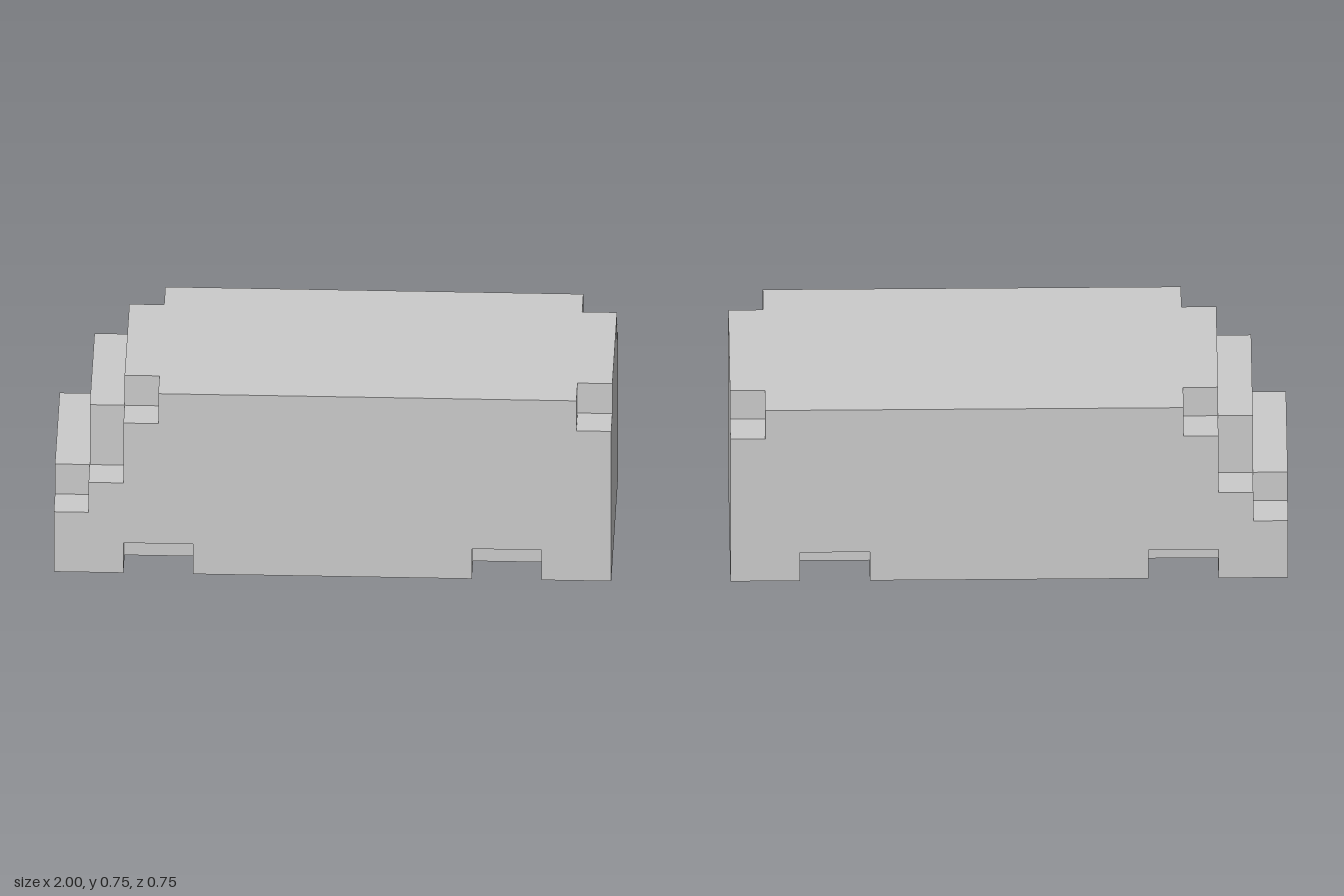
import * as THREE from 'three';

const U = 0.125; // one block; profiles below are in blocks
const HALF_CORE = 2, HALF_WIDTH = 3;

// Side outlines, counter-clockwise, x along the length and y up
const CORE = [[-8, 0], [8, 0], [8, 6], [-6, 6], [-6, 5], [-7, 5], [-7, 3], [-8, 3]];
const FLANK = [
  [-8, 0], [-6, 0], [-6, 1], [-4, 1], [-4, 0], [4, 0], [4, 1], [6, 1], [6, 0], [8, 0],
  [8, 5], [7, 5], [7, 6], [-5, 6], [-5, 5], [-6, 5], [-6, 3], [-7, 3], [-7, 2], [-8, 2],
];
// Recesses where the core shows beside a flank: x0, y0, x1, y1
const RECESSES = [
  [-8, 2, -7, 3], [-7, 3, -6, 5], [-6, 5, -5, 6], // stepped end
  [7, 5, 8, 6],                                   // upper corner
  [-6, 0, -4, 1], [4, 0, 6, 1],                   // lower notches
];

const material = new THREE.MeshStandardMaterial({ color: 0xcccccc, flatShading: true });

// Open-ended band of outward faces swept along z from an outline
function walls(outline, z0, z1) {
  const pos = [];
  outline.forEach((a, i) => {
    const b = outline[(i + 1) % outline.length];
    for (const [p, z] of [[a, z0], [b, z0], [b, z1], [a, z0], [b, z1], [a, z1]]) {
      pos.push(p[0] * U, p[1] * U, z * U);
    }
  });
  const geometry = new THREE.BufferGeometry();
  geometry.setAttribute('position', new THREE.Float32BufferAttribute(pos, 3));
  geometry.computeVertexNormals();
  return geometry;
}

function addMesh(parent, name, geometry) {
  const mesh = new THREE.Mesh(geometry, material);
  mesh.name = name;
  parent.add(mesh);
  return mesh;
}

// One long side, built facing +z; dir -1 mirrors the outline and turns it to the back
function flank(name, dir) {
  const group = new THREE.Group();
  group.name = name;
  const outline = FLANK.map(([x, y]) => [x * dir, y]);
  if (dir < 0) outline.reverse();

  addMesh(group, 'sideEdges', walls(outline, HALF_CORE, HALF_WIDTH));
  const shape = new THREE.Shape(outline.map(([x, y]) => new THREE.Vector2(x * U, y * U)));
  addMesh(group, 'sidePanel', new THREE.ShapeGeometry(shape)).position.z = HALF_WIDTH * U;

  for (const [x0, y0, x1, y1] of RECESSES) {
    const face = addMesh(group, 'recessFace', new THREE.PlaneGeometry((x1 - x0) * U, (y1 - y0) * U));
    face.position.set(dir * (x0 + x1) / 2 * U, (y0 + y1) / 2 * U, HALF_CORE * U);
  }
  if (dir < 0) group.rotation.y = Math.PI;
  return group;
}

export function createModel() {
  const model = new THREE.Group();
  model.name = 'steppedBlockBody';
  addMesh(model, 'core', walls(CORE, -HALF_CORE, HALF_CORE));
  model.add(flank('frontSide', 1), flank('backSide', -1));
  return model;
}
